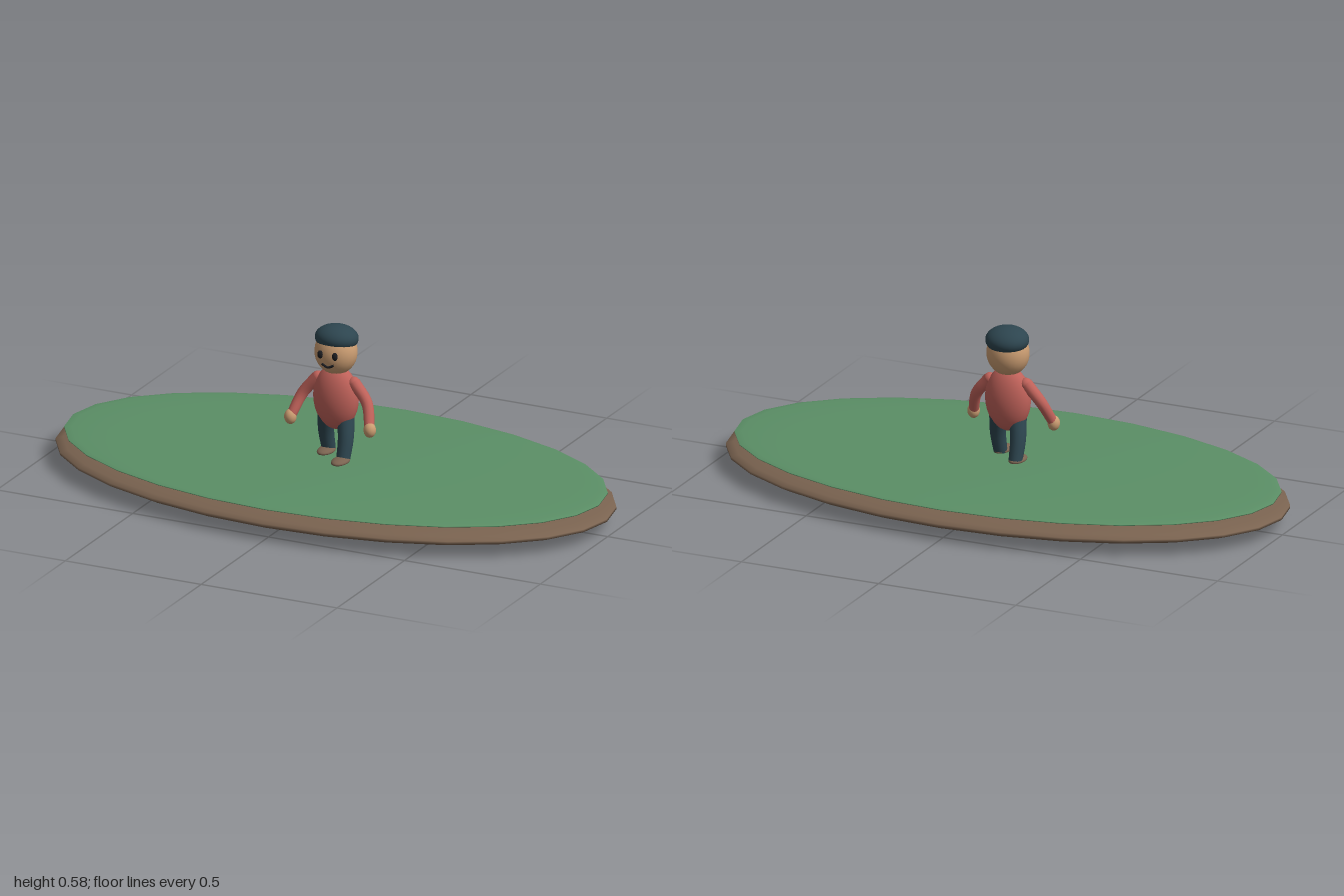
import * as THREE from 'three';

const mat = (name, color) => Object.assign(new THREE.MeshStandardMaterial({ color }), { name });

export function createModel() {
  const grass = mat('grass green', 0x5b8f66);
  const earth = mat('earth brown', 0x7a6350);
  const shirt = mat('shirt red', 0xc0625a);
  const skin = mat('skin tan', 0xcb9d72);
  const cloth = mat('dark teal', 0x2d454f);
  const dark = mat('feature black', 0x1b1c20);
  const model = new THREE.Group();
  model.name = 'figureOnIsland';

  const add = (name, geometry, material) => {
    const mesh = new THREE.Mesh(geometry, material);
    mesh.name = name;
    model.add(mesh);
    return mesh;
  };
  const ellipsoid = (name, material, pos, radii, seg = 24) => {
    const mesh = add(name, new THREE.SphereGeometry(1, seg, Math.ceil(seg * 0.65)), material);
    mesh.position.set(...pos);
    mesh.scale.set(...radii);
    return mesh;
  };
  // Tube along a smooth path whose radius changes from r0 to r1
  const limb = (name, material, points, r0, r1) => {
    const curve = new THREE.CatmullRomCurve3(points.map(p => new THREE.Vector3(...p)));
    const rings = 12, sides = 14;
    const geo = new THREE.TubeGeometry(curve, rings, 1, sides, false);
    const p = geo.attributes.position, v = new THREE.Vector3();
    for (let i = 0; i < p.count; i++) {
      const t = Math.floor(i / (sides + 1)) / rings;
      const c = curve.getPointAt(t);
      v.fromBufferAttribute(p, i).sub(c).multiplyScalar(r0 + (r1 - r0) * t).add(c);
      p.setXYZ(i, v.x, v.y, v.z);
    }
    return add(name, geo, material);
  };

  // Island: earth lens with a thinner grass lens on top
  ellipsoid('earthBase', earth, [0, 0.056, 0], [1, 0.056, 0.545], 28);
  ellipsoid('grassTop', grass, [0, 0.104, 0], [0.97, 0.018, 0.525], 28);

  // Body and head
  ellipsoid('torso', shirt, [0, 0.327, 0], [0.08, 0.112, 0.055]);
  ellipsoid('head', skin, [0, 0.487, 0], [0.073, 0.078, 0.066]);

  // Cap: a dome whose rim curls in, tipped back a little
  const cap = add('cap', new THREE.SphereGeometry(1, 24, 14, 0, Math.PI * 2, 0, Math.PI * 0.64), cloth);
  cap.position.set(0, 0.534, -0.006);
  cap.scale.set(0.074, 0.045, 0.067);
  cap.rotation.x = -0.1;

  // Smile
  limb('mouth', dark, [[-0.022, 0.459, 0.06], [0, 0.45, 0.062], [0.022, 0.459, 0.06]], 0.004, 0.004);

  for (const s of [-1, 1]) {
    const side = s > 0 ? 'left' : 'right';
    ellipsoid(side + 'Eye', dark, [s * 0.027, 0.492, 0.063], [0.01, 0.014, 0.008], 14);

    // Arm, closed at the shoulder by a ball, and hand
    ellipsoid(side + 'Shoulder', shirt, [s * 0.066, 0.386, 0], [0.021, 0.021, 0.021], 14);
    limb(side + 'Arm', shirt, [[s * 0.066, 0.388, 0], [s * 0.118, 0.325, 0.008], [s * 0.143, 0.256, 0.04]], 0.021, 0.017);
    ellipsoid(side + 'Hand', skin, [s * 0.146, 0.248, 0.044], [0.021, 0.026, 0.021], 16);

    // Legs mid-stride: left foot forward, right foot back
    const z = s > 0 ? 0.036 : -0.036;
    limb(side + 'Leg', cloth, [[s * 0.034, 0.27, -z * 0.1], [s * 0.045, 0.195, z * 0.5], [s * 0.044, 0.124, z]], 0.03, 0.023);
    ellipsoid(side + 'Shoe', earth, [s * 0.044, 0.126, z + 0.019], [0.028, 0.013, 0.045], 18);
  }
  return model;
}
